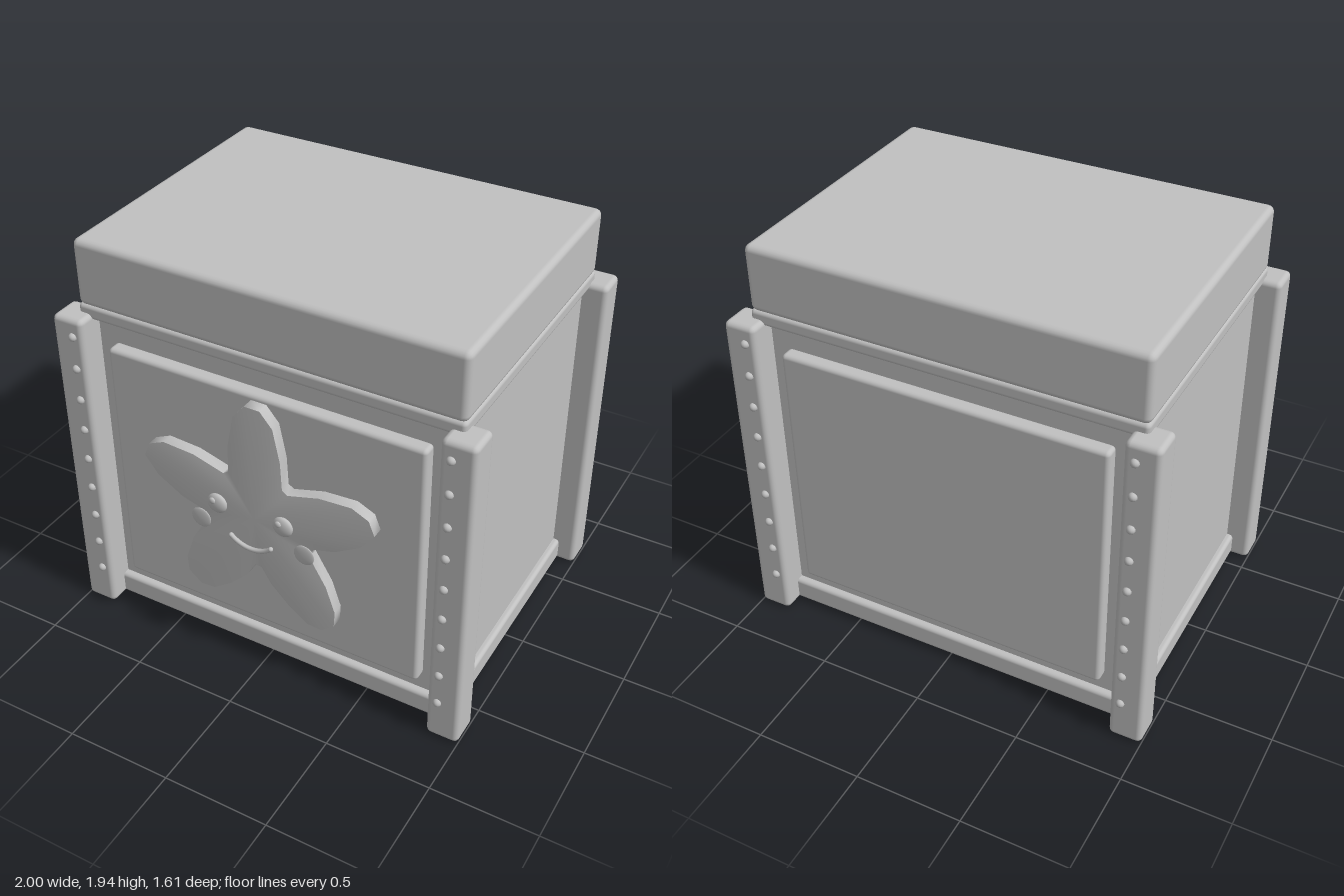
import * as THREE from 'three';
import { RoundedBoxGeometry } from 'three/addons/geometries/RoundedBoxGeometry.js';

const grey = new THREE.MeshStandardMaterial({ color: 0xc0c0c0 });
grey.name = 'plain grey';

const MID_Z = -0.03; // the chest sits slightly back so the face fits in front

function add(group, name, geometry, x, y, z) {
  const mesh = new THREE.Mesh(geometry, grey);
  mesh.name = name;
  mesh.position.set(x, y, z);
  group.add(mesh);
  return mesh;
}

// Rounded block given by its width, bottom, top and depth
function block(group, name, w, y0, y1, d, r, x = 0, z = MID_Z) {
  return add(group, name, new RoundedBoxGeometry(w, y1 - y0, d, 2, r), x, (y0 + y1) / 2, z);
}

// Right half of the starfish outline, from the top tip down
const HALF_STAR = [
  [0.037, 1.436], [0.096, 1.366], [0.128, 1.206], [0.134, 1.067], [0.16, 1.05],
  [0.31, 1.094], [0.465, 1.104], [0.545, 1.067], [0.572, 0.997], [0.508, 0.912],
  [0.385, 0.837], [0.278, 0.805], [0.262, 0.755], [0.342, 0.618], [0.385, 0.489],
  [0.38, 0.409], [0.316, 0.356], [0.246, 0.361], [0.155, 0.425], [0.064, 0.516], [0.016, 0.596],
];

// Starfish slab: upright rim walls and a gently raised middle
function starGeometry(zBack, zRim, zMiddle) {
  const mirrored = HALF_STAR.map(([x, y]) => [-x, y]).reverse();
  const outline = [...HALF_STAR, ...mirrored].reverse(); // counter-clockwise
  const n = outline.length;
  const pos = [];
  const index = [];
  for (const z of [zRim, zRim, zBack]) for (const [x, y] of outline) pos.push(x, y, z);
  const middle = 3 * n;
  pos.push(0, 0.87, zMiddle);
  for (let i = 0; i < n; i++) {
    const j = (i + 1) % n;
    index.push(middle, i, j);
    index.push(n + i, 2 * n + i, 2 * n + j, n + i, 2 * n + j, n + j);
  }
  const g = new THREE.BufferGeometry();
  g.setAttribute('position', new THREE.Float32BufferAttribute(pos, 3));
  g.setIndex(index);
  g.computeVertexNormals();
  return g;
}

export function createModel() {
  const model = new THREE.Group();
  model.name = 'starfishChest';

  // Chest body, base rail, rim and lid
  block(model, 'body', 1.77, 0.05, 1.6, 1.27, 0.01);
  block(model, 'baseRail', 1.83, 0.005, 0.12, 1.34, 0.02);
  block(model, 'rim', 1.83, 1.565, 1.635, 1.36, 0.02);
  block(model, 'lid', 1.83, 1.625, 1.94, 1.355, 0.03);

  // Raised panels on the front and the back
  for (const [name, z] of [['frontPanel', 0.63], ['backPanel', -0.69]]) {
    block(model, name, 1.53, 0.21, 1.46, 0.075, 0.02, 0, z);
  }

  // Corner posts with a row of rivets on their outer faces
  const rivet = new THREE.SphereGeometry(0.02, 12, 8);
  for (const side of [-1, 1]) {
    for (const end of [-1, 1]) {
      const corner = new THREE.Group();
      corner.name = (end > 0 ? 'front' : 'back') + (side > 0 ? 'Left' : 'Right') + 'Post';
      block(corner, 'post', 0.155, 0, 1.595, 0.155, 0.025, side * 0.9225, MID_Z + end * 0.6825);
      for (let i = 0; i < 9; i++) {
        add(corner, 'rivet', rivet, side * 0.895, 0.21 + i * 0.1625, MID_Z + end * 0.76);
      }
      model.add(corner);
    }
  }

  // Starfish and its face
  const star = new THREE.Group();
  star.name = 'starfish';
  add(star, 'starBody', starGeometry(0.66, 0.722, 0.742), 0, 0, 0);
  const ball = new THREE.SphereGeometry(1, 20, 14);
  for (const side of [-1, 1]) {
    add(star, 'eye', ball, side * 0.164, 0.92, 0.772).scale.set(0.049, 0.049, 0.021);
    add(star, 'eyeHighlight', ball, side * 0.164 - 0.013, 0.94, 0.79).scale.set(0.016, 0.016, 0.009);
    add(star, 'cheek', ball, side * 0.26, 0.797, 0.762).scale.set(0.05, 0.05, 0.008);
  }
  // Smile: a short arc of tube with round ends
  const R = 0.145;
  const half = 0.76;
  const smile = new THREE.TorusGeometry(R, 0.011, 8, 20, half * 2);
  smile.rotateZ(-Math.PI / 2 - half);
  add(star, 'smile', smile, 0, 0.73 + R, 0.773);
  for (const side of [-1, 1]) {
    add(star, 'smileEnd', ball, side * R * Math.sin(half), 0.73 + R * (1 - Math.cos(half)), 0.773)
      .scale.setScalar(0.011);
  }
  model.add(star);

  return model;
}
